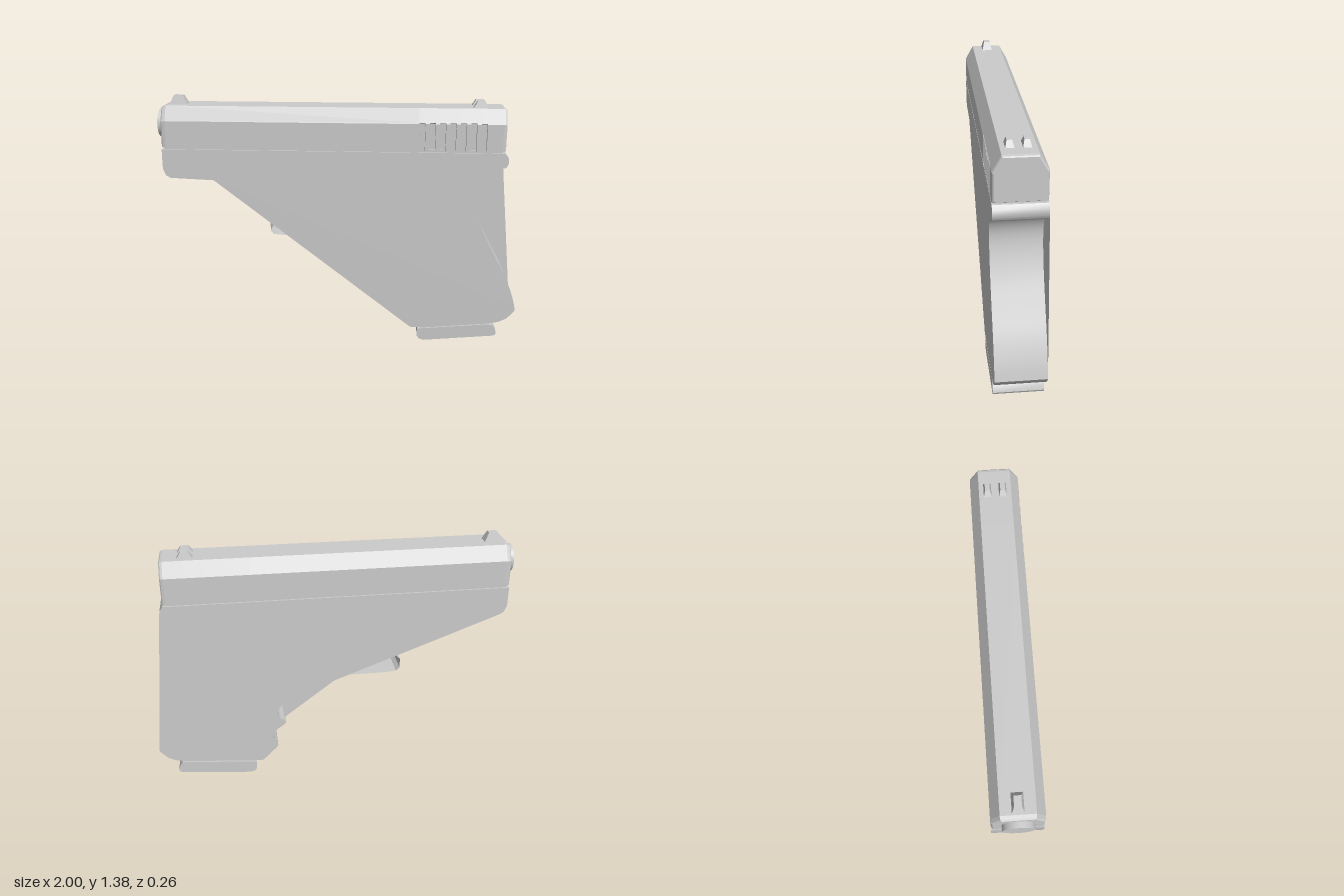
import * as THREE from 'three';
import { toCreasedNormals } from 'three/addons/utils/BufferGeometryUtils.js';

const mat = new THREE.MeshStandardMaterial({ color: 0xcccccc, side: THREE.DoubleSide });
const HALF = 0.13; // half thickness of the whole body

function add(parent, name, geometry) {
  const mesh = new THREE.Mesh(geometry, mat);
  mesh.name = name;
  parent.add(mesh);
  return mesh;
}

function fromTriangles(positions) {
  const g = new THREE.BufferGeometry();
  g.setAttribute('position', new THREE.Float32BufferAttribute(positions, 3));
  g.computeVertexNormals();
  return g;
}

const spline = (pts, n) =>
  new THREE.SplineCurve(pts.map(p => new THREE.Vector2(...p))).getPoints(n).map(v => [v.x, v.y]);

// Band that follows a closed counterclockwise outline across the thickness
function wall(outline) {
  const pos = [];
  outline.forEach((a, i) => {
    const b = outline[(i + 1) % outline.length];
    pos.push(...a, HALF, ...a, -HALF, ...b, -HALF, ...a, HALF, ...b, -HALF, ...b, HALF);
  });
  return toCreasedNormals(fromTriangles(pos), 0.6);
}

// Flat side plate at a given z
function plate(outline, z) {
  const g = new THREE.ShapeGeometry(new THREE.Shape(outline.map(p => new THREE.Vector2(...p))));
  if (z < 0) g.scale(1, 1, -1).index.array.reverse();
  g.computeVertexNormals();
  return g.translate(0, 0, z);
}

// Slab cut from an xy outline, centred on z = 0
function slab(outline, depth) {
  const shape = new THREE.Shape(outline.map(p => new THREE.Vector2(...p)));
  const g = new THREE.ExtrudeGeometry(shape, { depth, bevelEnabled: false });
  return toCreasedNormals(g.translate(0, 0, -depth / 2), 0.6);
}

// Loft of equal-length [z, y] rings placed along x, closed at both ends
function loft(rings) {
  const pos = [];
  const v = (r, i) => [r.x, r.pts[i][1], r.pts[i][0]];
  const n = rings[0].pts.length;
  for (let k = 0; k < rings.length - 1; k++) {
    const [a, b] = [rings[k], rings[k + 1]];
    for (let i = 0; i < n; i++) {
      const j = (i + 1) % n;
      pos.push(...v(a, i), ...v(b, i), ...v(a, j), ...v(b, i), ...v(b, j), ...v(a, j));
    }
  }
  const [first, last] = [rings[0], rings[rings.length - 1]];
  for (let i = 1; i < n - 1; i++) {
    pos.push(...v(first, 0), ...v(first, i), ...v(first, i + 1));
    pos.push(...v(last, 0), ...v(last, i + 1), ...v(last, i));
  }
  return fromTriangles(pos);
}

// Small tapered sight block
function sight(parent, name, x, z, length, width, height) {
  const g = new THREE.BoxGeometry(length, height, width).toNonIndexed();
  const p = g.attributes.position;
  for (let i = 0; i < p.count; i++) {
    if (p.getY(i) > 0) p.setXYZ(i, p.getX(i) * 0.5, p.getY(i), p.getZ(i) * 0.6);
  }
  g.computeVertexNormals();
  add(parent, name, g).position.set(x, 1.33 + height / 2, z);
}

function buildFrame() {
  const frame = new THREE.Group();
  frame.name = 'frame';
  const nose = [[-0.97, 1.1], [-0.97, 0.99], [-0.955, 0.955], [-0.93, 0.94]];
  const rail = [-0.69, 0.93];
  const guard = [[-0.33, 0.9], [-0.34, 0.74], [-0.38, 0.7], [-0.38, 0.645], [-0.36, 0.625],
    [-0.29, 0.62], [0.15, 0.62], [0.22, 0.6]];
  const fingerGrooves = spline([[0.26, 0.485], [0.31, 0.42], [0.31, 0.37], [0.27, 0.33],
    [0.33, 0.28], [0.345, 0.23], [0.32, 0.18], [0.36, 0.13], [0.41, 0.08]], 32);
  const heel = [[0.46, 0.08], [0.86, 0.115], [0.91, 0.125], [0.95, 0.145], [0.98, 0.175], [0.998, 0.2]];
  const strap = spline([[0.998, 0.2], [0.975, 0.29], [0.93, 0.4], [0.86, 0.53], [0.79, 0.67], [0.75, 0.79],
    [0.742, 0.88], [0.765, 0.95], [0.81, 0.995], [0.87, 1.015], [0.9, 1.025], [0.913, 1.05]], 48);
  const tang = [[0.908, 1.08], [0.89, 1.1]];

  add(frame, 'frameWall', wall([...nose, rail, ...guard, ...fingerGrooves, ...heel, ...strap.slice(1), ...tang]));
  add(frame, 'frameFrontPlate', plate([...nose, rail, [0.41, 0.08], ...heel, ...strap.slice(1), ...tang], HALF));
  add(frame, 'frameBackPlate', plate([...nose, ...fingerGrooves, ...heel, [0.913, 1.05], ...tang], -HALF));
  return frame;
}

function buildSlide() {
  const slide = new THREE.Group();
  slide.name = 'slide';
  const full = [[0.13, 1.108], [0.13, 1.255], [0.127, 1.26], [0.085, 1.333],
    [-0.085, 1.333], [-0.13, 1.255], [-0.13, 1.108]];
  const slotted = full.map((p, i) => (i < 2 ? [0.115, p[1]] : p));
  const shrink = s => full.map(([z, y]) => [z * s, 1.2 + (y - 1.2) * s]);

  // Rounded ends, with seven grip slots cut in the front side
  const rings = [{ x: -0.97, pts: shrink(0.92) }, { x: -0.963, pts: shrink(0.97) }, { x: -0.945, pts: full }];
  for (let i = 0; i < 7; i++) {
    const x = 0.43 + i * 0.0545;
    rings.push({ x, pts: full }, { x: x + 0.001, pts: slotted },
      { x: x + 0.032, pts: slotted }, { x: x + 0.033, pts: full });
  }
  rings.push({ x: 0.875, pts: full }, { x: 0.887, pts: shrink(0.98) }, { x: 0.893, pts: shrink(0.94) });
  add(slide, 'slideBody', loft(rings));

  // Filler in the narrow seam under the slide
  add(slide, 'slideRail', new THREE.BoxGeometry(1.83, 0.02, 0.24)).position.set(-0.04, 1.105, 0);

  const barrel = add(slide, 'barrel', new THREE.CylinderGeometry(0.078, 0.078, 0.06, 32));
  barrel.rotation.z = Math.PI / 2;
  barrel.position.set(-0.97, 1.225, 0);

  sight(slide, 'frontSight', -0.89, 0, 0.1, 0.06, 0.05);
  for (const side of [-1, 1]) sight(slide, 'rearSight', 0.76, side * 0.04, 0.085, 0.042, 0.035);
  return slide;
}

export function createModel() {
  const model = new THREE.Group();
  model.add(buildFrame(), buildSlide());

  // Base plate under the grip, with its recessed neck
  const base = new THREE.Group();
  base.name = 'base';
  add(base, 'baseNeck', slab([[0.47, 0.06], [0.86, 0.09], [0.86, 0.12], [0.47, 0.09]], 0.24));
  add(base, 'basePlate', slab([[0.45, 0.07], [0.45, 0.025], [0.462, 0.008], [0.49, 0], [0.87, 0.037],
    [0.893, 0.042], [0.9, 0.055], [0.892, 0.085], [0.875, 0.104], [0.85, 0.108]], HALF * 2));
  model.add(base);
  return model;
}
